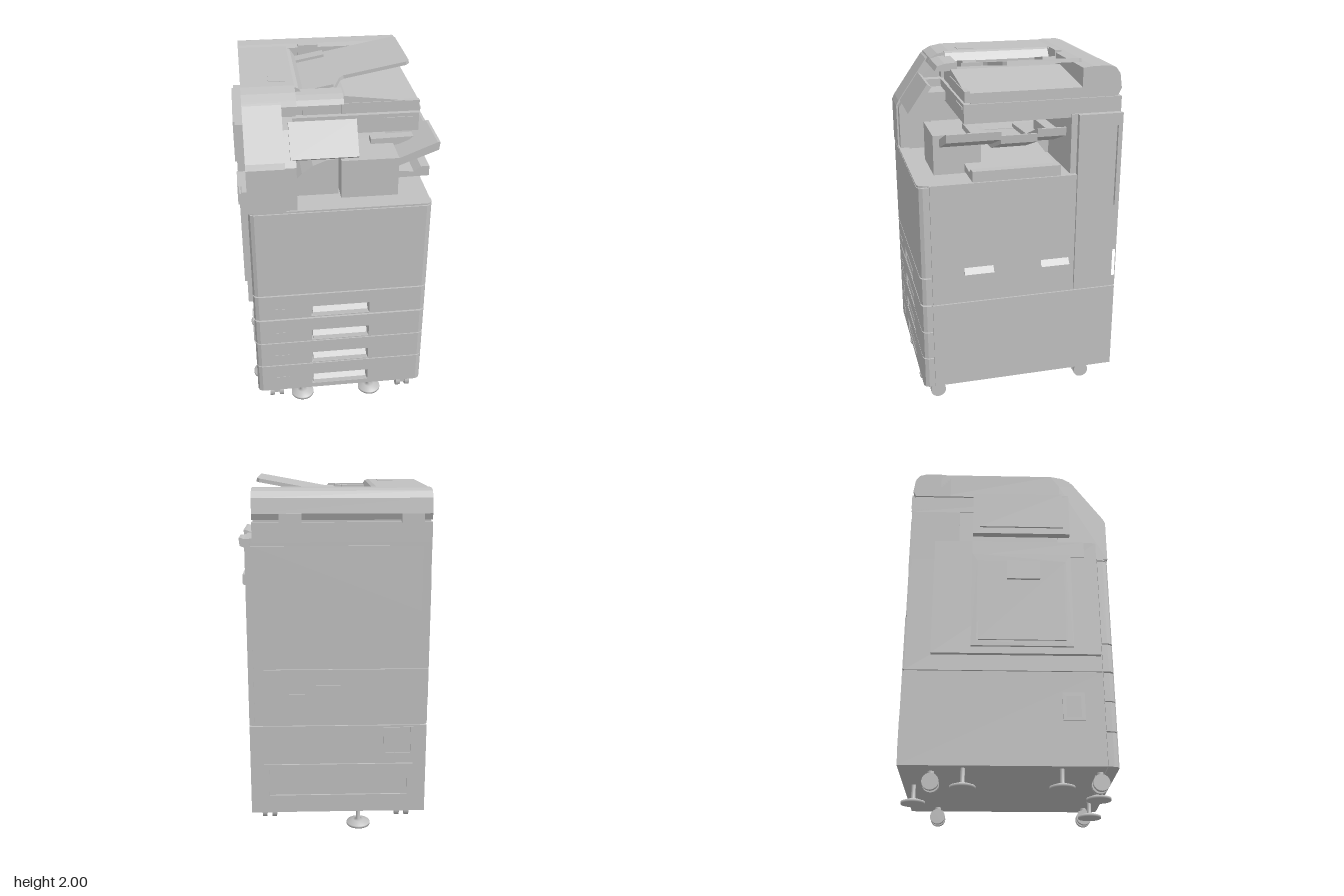
import * as THREE from 'three';

const lightGrey = new THREE.MeshStandardMaterial({ color: 0xc0c0c0 });
lightGrey.name = 'lightGrey';

export function createModel() {
  const model = new THREE.Group();
  model.name = 'officeCopier';

  const add = (name, geo, parent = model) => {
    const m = new THREE.Mesh(geo, lightGrey);
    m.name = name;
    parent.add(m);
    return m;
  };
  // Box given by its extents
  const box = (name, x0, x1, y0, y1, z0, z1, parent) =>
    add(name, new THREE.BoxGeometry(x1 - x0, y1 - y0, z1 - z0)
      .translate((x0 + x1) / 2, (y0 + y1) / 2, (z0 + z1) / 2), parent);
  const outline = (pts, holes = []) => {
    const s = new THREE.Shape(pts.map(p => new THREE.Vector2(...p)));
    holes.forEach(h => s.holes.push(new THREE.Path(h.map(p => new THREE.Vector2(...p)))));
    return s;
  };
  const rect = (a0, a1, b0, b1) => [[a0, b0], [a1, b0], [a1, b1], [a0, b1]];
  const extrude = (s, depth) => new THREE.ExtrudeGeometry(s, { depth, bevelEnabled: false });
  // Side profile (z, y) swept along x
  const alongX = (name, pts, x0, x1, holes = []) => {
    const flip = l => l.map(([z, y]) => [-z, y]);
    return add(name, extrude(outline(flip(pts), holes.map(flip)), x1 - x0).rotateY(Math.PI / 2).translate(x0, 0, 0));
  };
  // Front profile (x, y) swept along z
  const alongZ = (name, pts, z0, z1, holes) =>
    add(name, extrude(outline(pts, holes), z1 - z0).translate(0, 0, z0));
  // Plan (x, z) swept upward
  const alongY = (name, pts, y0, y1) =>
    add(name, extrude(outline(pts.map(([x, z]) => [x, -z])), y1 - y0).rotateX(-Math.PI / 2).translate(0, y0, 0));

  const L = -0.505, R = 0.495, BACK = -0.57, FRONT = 0.59;

  // Cabinet and main body cores
  box('cabinet', L, R, 0.11, 0.64, BACK, 0.525);
  box('bodyCore', L, 0.465, 0.648, 1.36, -0.56, 0.525);
  box('seamCore', L + 0.01, R - 0.01, 0.63, 0.66, BACK + 0.01, 0.515);

  // Right side panels with grip pockets and the rear recess
  alongX('rightPanel', rect(-0.31, 0.523, 0.648, 1.36), 0.465, R,
    [rect(0.16, 0.34, 0.81, 0.86), rect(-0.29, -0.11, 0.81, 0.86)]);
  alongX('rightRearPanel', rect(BACK, -0.315, 0.648, 1.70), 0.465, R,
    [rect(-0.545, -0.425, 1.16, 1.63), rect(-0.565, -0.53, 0.71, 0.88)]);
  for (const z of [0.25, -0.2])
    alongZ('sideGrip', [[0.466, 0.812], [0.493, 0.812], [0.466, 0.845]], z - 0.085, z + 0.085);

  // Front slabs with rounded corners; the notch makes a pull pocket
  const frontPlan = notch => {
    const pts = [[L, 0.528], [L, FRONT - 0.03], [L + 0.01, FRONT - 0.009], [L + 0.03, FRONT]];
    if (notch) pts.push([-0.175, FRONT], [-0.165, 0.535], [0.155, 0.535], [0.165, FRONT]);
    return pts.concat([[R - 0.03, FRONT], [R - 0.01, FRONT - 0.009], [R, FRONT - 0.03], [R, 0.528]]);
  };
  const drawers = [[0.11, 0.298, 0.14, 0.215], [0.304, 0.47, 0.31, 0.385],
    [0.476, 0.64, 0.482, 0.555], [0.65, 0.812, 0.656, 0.727]];
  drawers.forEach(([y0, y1, h0, h1]) => {
    alongY('drawerLowerFront', frontPlan(false), y0, h0);
    alongY('drawerMiddleFront', frontPlan(true), h0, h1);
    alongY('drawerUpperFront', frontPlan(false), h1, y1);
    alongX('drawerPull', [[0.534, h0], [0.587, h0], [0.58, h0 + 0.02], [0.534, h0 + 0.055]], -0.165, 0.155);
    box('drawerMark', -0.4, -0.31, h1 - 0.04, h1 - 0.005, 0.585, 0.592);
  });
  alongY('frontDoor', frontPlan(false), 0.82, 1.352);
  alongY('outputFloor', frontPlan(false), 1.357, 1.367);
  box('frontCore', L + 0.01, R - 0.01, 0.12, 1.36, 0.5, 0.532);

  // Rear column and sloped left column
  box('rearColumn', L, 0.465, 1.35, 1.70, -0.56, -0.28);
  alongX('leftColumn', [[-0.3, 1.36], [0.58, 1.36], [0.58, 1.62], [0.465, 1.785], [-0.3, 1.785]], L + 0.005, -0.24);
  alongX('leftColumnCover', [[0.3, 1.365], [FRONT, 1.365], [FRONT, 1.62], [0.575, 1.65],
    [0.40, 1.9], [0.37, 1.92], [0.3, 1.92]], L, -0.3);

  // Scanner
  box('scannerBody', L, 0.455, 1.68, 1.785, BACK, 0.32);
  box('scannerButtons', 0.26, 0.42, 1.75, 1.765, 0.318, 0.325);
  box('scannerNeck', L + 0.01, 0.445, 1.78, 1.8, -0.55, 0.28);

  // Document feeder
  alongX('feederRear', [[-0.34, 1.795], [-0.34, 1.95], [-0.4, 1.957], [-0.49, 1.957], [-0.53, 1.945],
    [-0.555, 1.91], [-0.567, 1.83], [-0.55, 1.795]], L, 0.455);
  alongX('feederCover', [[-0.4, 1.795], [-0.4, 1.953], [0.27, 1.953], [0.34, 1.94], [0.385, 1.915],
    [0.4, 1.885], [0.32, 1.88], [0.32, 1.795]], L, -0.22);
  alongZ('feederCoverSlope', [[-0.22, 1.795], [-0.17, 1.795], [-0.17, 1.9], [-0.2, 1.945], [-0.22, 1.953]], -0.34, 0.3);
  alongX('feederLip', [[0.27, 1.88], [0.27, 1.93], [0.34, 1.925], [0.385, 1.912], [0.4, 1.885]], -0.22, 0.03);
  alongZ('feederOutput', [[-0.18, 1.795], [0.455, 1.795], [0.455, 1.845], [0.05, 1.895], [-0.18, 1.87]], -0.34, 0.31);
  box('feederOutputRim', 0.03, 0.455, 1.795, 1.855, 0.285, 0.315);
  box('feederButton', -0.355, -0.265, 1.95, 1.956, 0.11, 0.21);
  box('trayHinge', -0.15, -0.03, 1.9, 1.965, -0.375, -0.335);
  for (const x of [-0.4, 0.25]) box('lidHinge', x - 0.06, x + 0.06, 1.74, 1.83, -0.577, -0.53);

  // Tilted document tray with two paper guides
  const tray = new THREE.Group();
  tray.name = 'documentTray';
  const slope = 0.185;
  const plate = alongY('trayPlate', [[-0.2, -0.34], [0.43, -0.34], [0.445, -0.32], [0.445, 0.08], [0.425, 0.1],
    [0.07, 0.1], [0.045, 0.12], [0.0, 0.24], [-0.2, 0.24]], 0, 0.02);
  tray.add(plate);
  box('rearPaperGuide', -0.17, 0, 0.018, 0.035, -0.33, -0.25, tray);
  box('frontPaperGuide', -0.17, 0, 0.018, 0.035, 0.15, 0.23, tray);
  tray.rotation.z = Math.atan(slope);
  tray.position.set(0, 1.899, 0);
  model.add(tray);

  // Tilted control panel and its arm
  const panel = box('controlPanel', -0.18, 0.18, -0.1, 0.1, -0.015, 0.015);
  panel.position.set(-0.09, 1.735, 0.5);
  panel.rotation.x = -0.61;
  box('controlPanelArm', -0.24, -0.08, 1.69, 1.74, 0.3, 0.5);

  // Output bay: inner units and paper trays
  alongZ('innerUnit', [[-0.24, 1.365], [0, 1.365], [0, 1.58], [-0.06, 1.575], [-0.14, 1.545],
    [-0.2, 1.5], [-0.24, 1.46]], 0.2, 0.42);
  box('innerCover', 0.01, 0.325, 1.365, 1.59, 0.2, 0.47);
  box('rearInnerUnit', -0.24, 0.05, 1.365, 1.53, -0.28, 0.2);
  const trayEdge = [[0.02, 1.50], [0.33, 1.525], [0.55, 1.61], [0.555, 1.655], [0.54, 1.655], [0.33, 1.57], [0.02, 1.55]];
  alongZ('upperTrayRear', trayEdge, -0.22, -0.06);
  alongZ('upperTrayMiddle', trayEdge.map(([x, y]) => [x - 0.005, y - 0.025]), -0.06, 0.14);
  alongZ('upperTrayFront', trayEdge, 0.14, 0.33);
  alongZ('upperTrayFrontEdge', trayEdge.slice(1, 6), 0.33, 0.435);
  for (const z of [-0.17, 0.25])
    alongZ('upperTrayRib', [[0.2, 1.55], [0.4, 1.59], [0.44, 1.625], [0.2, 1.62]], z - 0.03, z + 0.03);
  alongZ('lowerTray', [[0.0, 1.37], [0.54, 1.38], [0.54, 1.44], [0.49, 1.44], [0.45, 1.41], [0.0, 1.45]], -0.2, 0.295);

  // Left side panels
  box('leftDoor', -0.53, L, 0.74, 1.46, -0.42, 0.52);
  box('leftDoorTop', -0.535, L, 1.36, 1.46, -0.2, 0.45);
  alongX('bypassFrame', rect(-0.2, 0.37, 0.78, 1.37), -0.545, -0.53, [rect(-0.17, 0.34, 0.81, 1.32)]);
  box('bypassTray', -0.54, -0.528, 0.82, 1.31, -0.16, 0.33);
  box('bypassGrip', -0.556, -0.53, 1.2, 1.32, 0, 0.19);
  box('leftUpperCover', -0.545, L, 1.51, 1.785, -0.2, 0.37);
  box('leftUpperRidge', -0.556, -0.54, 1.55, 1.785, -0.16, 0.33);
  alongX('cabinetSideGrip', rect(0.3, 0.42, 0.36, 0.52), -0.513, L, [rect(0.32, 0.4, 0.38, 0.5)]);

  // Back panels
  box('backUpperSheet', L, R, 0.98, 1.69, -0.567, -0.55);
  alongZ('backStepPlate', [[-0.46, 1.3], [0.03, 1.3], [0.03, 1.12], [0.465, 1.12], [0.465, 1.66], [-0.46, 1.66]], -0.574, -0.56);
  box('backMiddleSheet', L, 0.41, 0.65, 0.972, BACK, -0.55);
  box('powerSocket', 0.18, 0.27, 0.72, 0.83, -0.577, -0.56);
  box('socketCover', -0.05, 0.12, 0.7, 0.88, -0.575, -0.56);
  alongZ('cabinetBackFrame', rect(-0.43, 0.42, 0.19, 0.41), -0.58, -0.565, [rect(-0.4, 0.39, 0.22, 0.38)]);
  alongZ('cabinetBackPort', rect(-0.43, -0.26, 0.46, 0.63), -0.577, -0.565, [rect(-0.415, -0.275, 0.475, 0.63)]);

  // Twin-wheel casters
  for (const x of [-0.39, 0.4]) for (const z of [0.5, -0.4]) {
    const caster = new THREE.Group();
    caster.name = 'caster';
    for (const s of [-1, 1])
      add('casterWheel', new THREE.CylinderGeometry(0.045, 0.045, 0.026, 24).rotateZ(Math.PI / 2).translate(s * 0.029, 0.047, 0), caster);
    add('casterStem', new THREE.CylinderGeometry(0.018, 0.018, 0.08, 16).translate(0, 0.08, 0), caster);
    box('casterFork', -0.017, 0.017, 0.035, 0.09, -0.03, 0.03, caster);
    caster.position.set(x, 0, z);
    model.add(caster);
  }

  // Levelling feet
  const footProfile = [[0, 0], [0.068, 0], [0.068, 0.014], [0.03, 0.028], [0.012, 0.032], [0.012, 0.115]]
    .map(p => new THREE.Vector2(...p));
  for (const [x, z] of [[-0.457, 0.29], [-0.457, -0.23], [-0.23, 0.51], [0.19, 0.51], [-0.125, -0.51]])
    add('levellingFoot', new THREE.LatheGeometry(footProfile, 28)).position.set(x, 0, z);

  return model;
}
